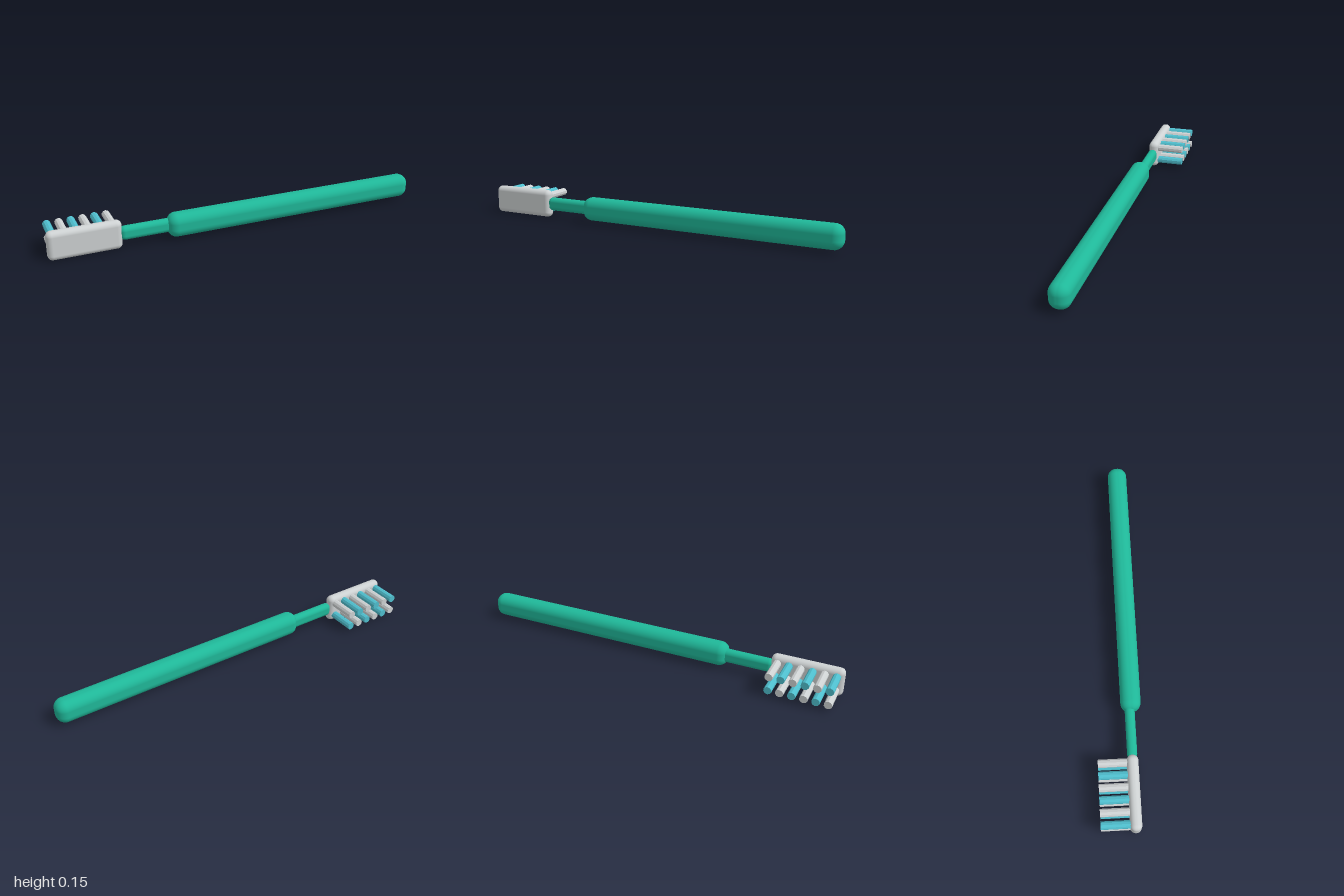
import * as THREE from 'three';
import { RoundedBoxGeometry } from 'three/addons/geometries/RoundedBoxGeometry.js';

function material(name, color) {
  const m = new THREE.MeshStandardMaterial({ color });
  m.name = name;
  return m;
}

export function createModel() {
  const model = new THREE.Group();
  model.name = 'toothbrush';

  const green = material('handle green', 0x1fb899);
  const grey = material('pale grey', 0xced2d3);
  const cyan = material('bristle cyan', 0x4fbfce);

  // Rounded block given by its limits on each axis
  function block(name, [x0, x1], [y0, y1], [z0, z1], radius, mat) {
    const geo = new RoundedBoxGeometry(x1 - x0, y1 - y0, z1 - z0, 5, radius);
    const mesh = new THREE.Mesh(geo, mat);
    mesh.name = name;
    mesh.position.set((x0 + x1) / 2, (y0 + y1) / 2, (z0 + z1) / 2);
    model.add(mesh);
  }

  block('handle', [-0.405, 1], [0.013, 0.138], [0.012, 0.115], 0.047, green);
  block('neck', [-0.645, -0.37], [0.04, 0.112], [0.032, 0.082], 0.024, green);
  block('head', [-1, -0.635], [0, 0.15], [0.027, 0.084], 0.027, grey);

  // Two rows of ten-sided tufts pointing backwards, colours in a checkerboard
  const zTip = -0.115, zRoot = 0.04;
  const tuft = new THREE.CylinderGeometry(0.0205, 0.0205, zRoot - zTip, 10)
    .rotateX(Math.PI / 2)
    .toNonIndexed();
  tuft.computeVertexNormals();

  const bristles = new THREE.Group();
  bristles.name = 'bristles';
  [0.113, 0.038].forEach((y, row) => {
    for (let i = 0; i < 6; i++) {
      const mesh = new THREE.Mesh(tuft, (i + row) % 2 ? grey : cyan);
      mesh.name = 'bristleTuft';
      mesh.position.set(-0.965 + i * 0.059, y, (zRoot + zTip) / 2);
      bristles.add(mesh);
    }
  });
  model.add(bristles);

  return model;
}
